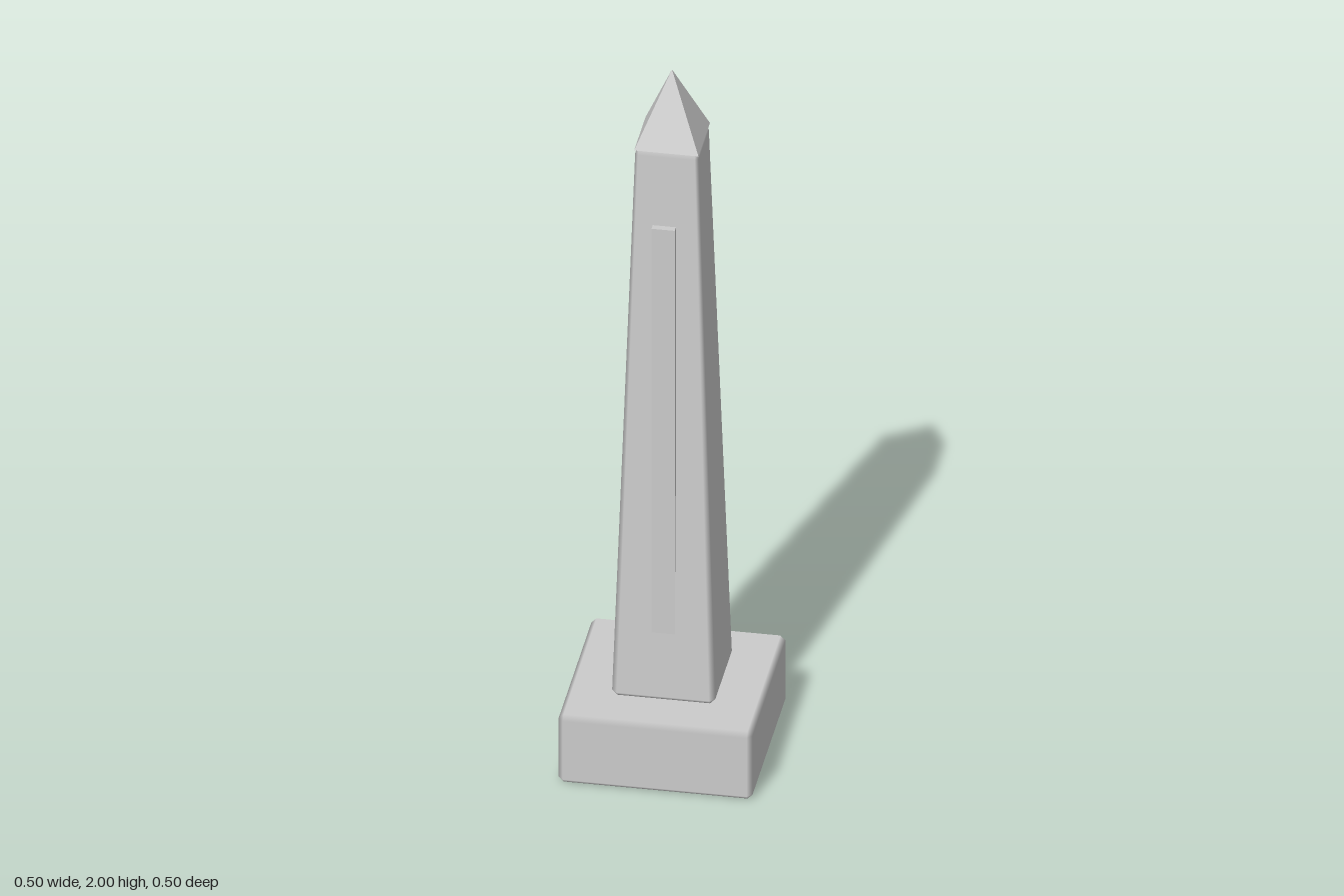
import * as THREE from 'three';
import { ConvexGeometry } from 'three/addons/geometries/ConvexGeometry.js';

const material = new THREE.MeshStandardMaterial({ color: 0xcccccc });

// Box with a chamfer on every edge; the chamfers are shaded softly between the flat faces.
// topScale narrows the box towards its top.
function bevelledBox(width, height, bevel, topScale = 1) {
  const half = [width / 2, height / 2, width / 2];
  const points = [];
  for (let axis = 0; axis < 3; axis++) {
    for (const a of [-1, 1]) for (const b of [-1, 1]) for (const c of [-1, 1]) {
      const signs = [a, b, c];
      points.push(new THREE.Vector3(...half.map((h, i) => signs[i] * (i === axis ? h : h - bevel))));
    }
  }
  const geometry = new ConvexGeometry(points);
  const pos = geometry.attributes.position;
  const normal = geometry.attributes.normal;
  const slope = width * (1 - topScale) / (2 * height);
  for (let i = 0; i < pos.count; i++) {
    // Each corner takes the normal of the one flat face it lies on
    const p = [pos.getX(i), pos.getY(i), pos.getZ(i)];
    const n = new THREE.Vector3(...p.map((v, k) => (Math.abs(v) > half[k] - bevel / 2 ? Math.sign(v) : 0)));
    if (n.y === 0) n.y = slope;
    n.normalize();
    normal.setXYZ(i, n.x, n.y, n.z);
    const scale = THREE.MathUtils.lerp(1, topScale, p[1] / height + 0.5);
    pos.setXYZ(i, p[0] * scale, p[1], p[2] * scale);
  }
  return geometry;
}

function addPart(group, name, geometry, y, z = 0) {
  const mesh = new THREE.Mesh(geometry, material);
  mesh.name = name;
  mesh.position.set(0, y, z);
  group.add(mesh);
}

export function createModel() {
  const group = new THREE.Group();
  group.name = 'obelisk';

  // Square plinth
  addPart(group, 'plinth', bevelledBox(0.5, 0.2, 0.013), 0.1);

  // Tapering shaft
  addPart(group, 'shaft', bevelledBox(0.267, 1.6, 0.014, 0.61), 1.0);

  // Pyramid cap, slightly wider than the top of the shaft
  const cap = new THREE.ConeGeometry(0.083 * Math.SQRT2, 0.2, 4).rotateY(Math.PI / 4).toNonIndexed();
  cap.computeVertexNormals();
  addPart(group, 'pyramidCap', cap, 1.9);

  // Upright strip standing proud of the front face
  addPart(group, 'frontStrip', new THREE.BoxGeometry(0.06, 1.2, 0.018), 1.0, 0.119);

  return group;
}
